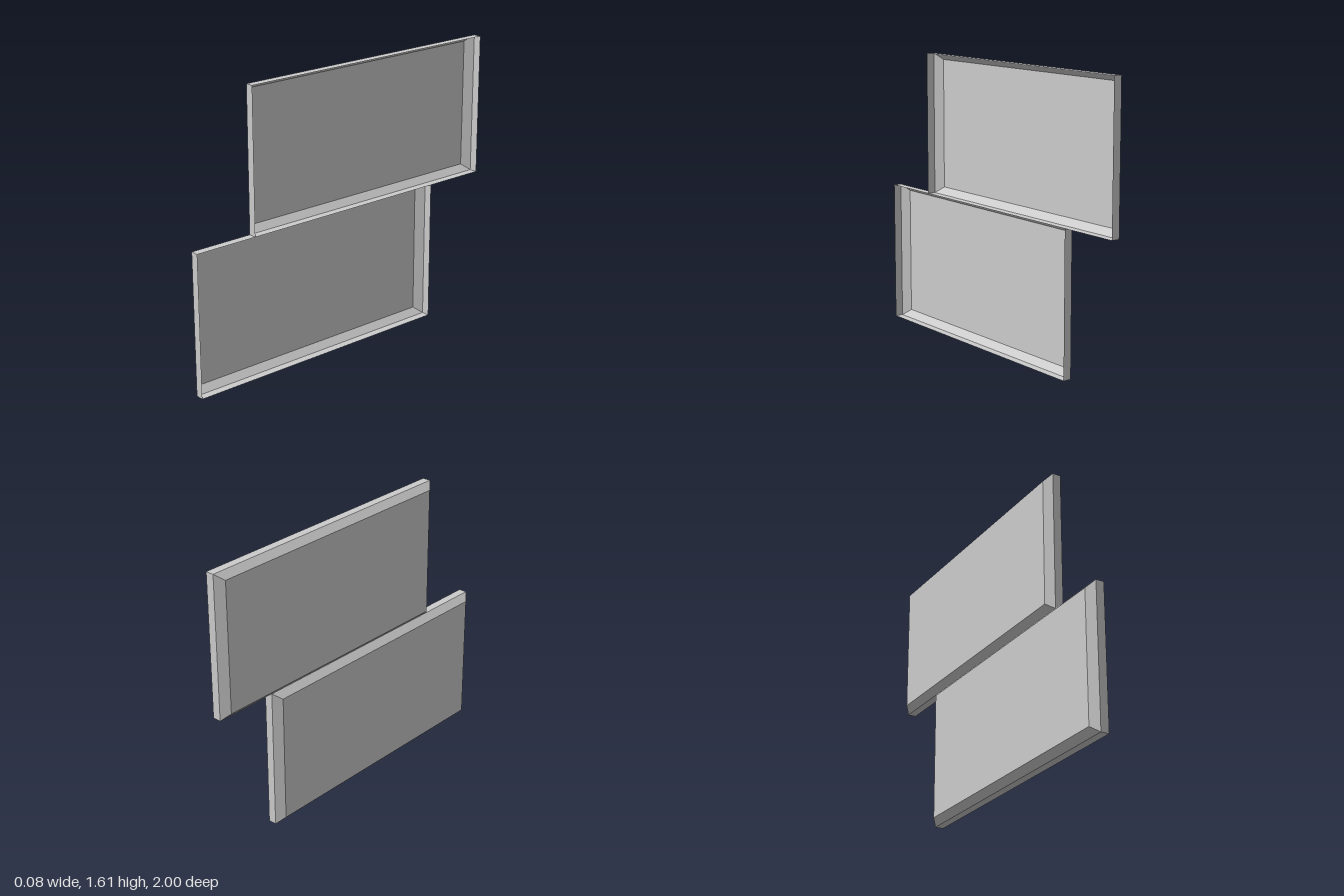
import * as THREE from 'three';

// Cross-sections of a tray along x: [x, inset in y, inset in z], from the open rim to the back
const SECTIONS = [
  [0.041, 0, 0],
  [-0.006, 0, 0],
  [-0.042, 0.036, 0.045],
];

// Thin open tray with bevelled edges: open towards +x, closed by a flat plate at -x
function trayGeometry(length, height) {
  const loops = SECTIONS.map(([x, dy, dz]) => {
    const y = height / 2 - dy, z = length / 2 - dz;
    return [[x, -y, -z], [x, -y, z], [x, y, z], [x, y, -z]];
  });
  const positions = [];
  const quad = (a, b, c, d) => positions.push(...a, ...b, ...c, ...a, ...c, ...d);

  // Straight walls, then bevels
  for (let s = 0; s < loops.length - 1; s++) {
    for (let i = 0; i < 4; i++) {
      const j = (i + 1) % 4;
      quad(loops[s][i], loops[s][j], loops[s + 1][j], loops[s + 1][i]);
    }
  }
  // Back plate
  quad(...loops[loops.length - 1]);

  const geometry = new THREE.BufferGeometry();
  geometry.setAttribute('position', new THREE.Float32BufferAttribute(positions, 3));
  geometry.computeVertexNormals();
  return geometry;
}

export function createModel() {
  const group = new THREE.Group();
  group.name = 'staggeredPanels';
  const material = new THREE.MeshStandardMaterial({
    color: 0xcccccc, flatShading: true, side: THREE.DoubleSide,
  });
  const length = 1.632, height = 0.805;
  const geometry = trayGeometry(length, height);

  // Two equal trays, stacked and offset along z
  for (const [name, row, side] of [['lowerPanel', 0, 1], ['upperPanel', 1, -1]]) {
    const panel = new THREE.Mesh(geometry, material);
    panel.name = name;
    panel.position.set(0, height * (row + 0.5), side * (1 - length / 2));
    group.add(panel);
  }
  return group;
}
